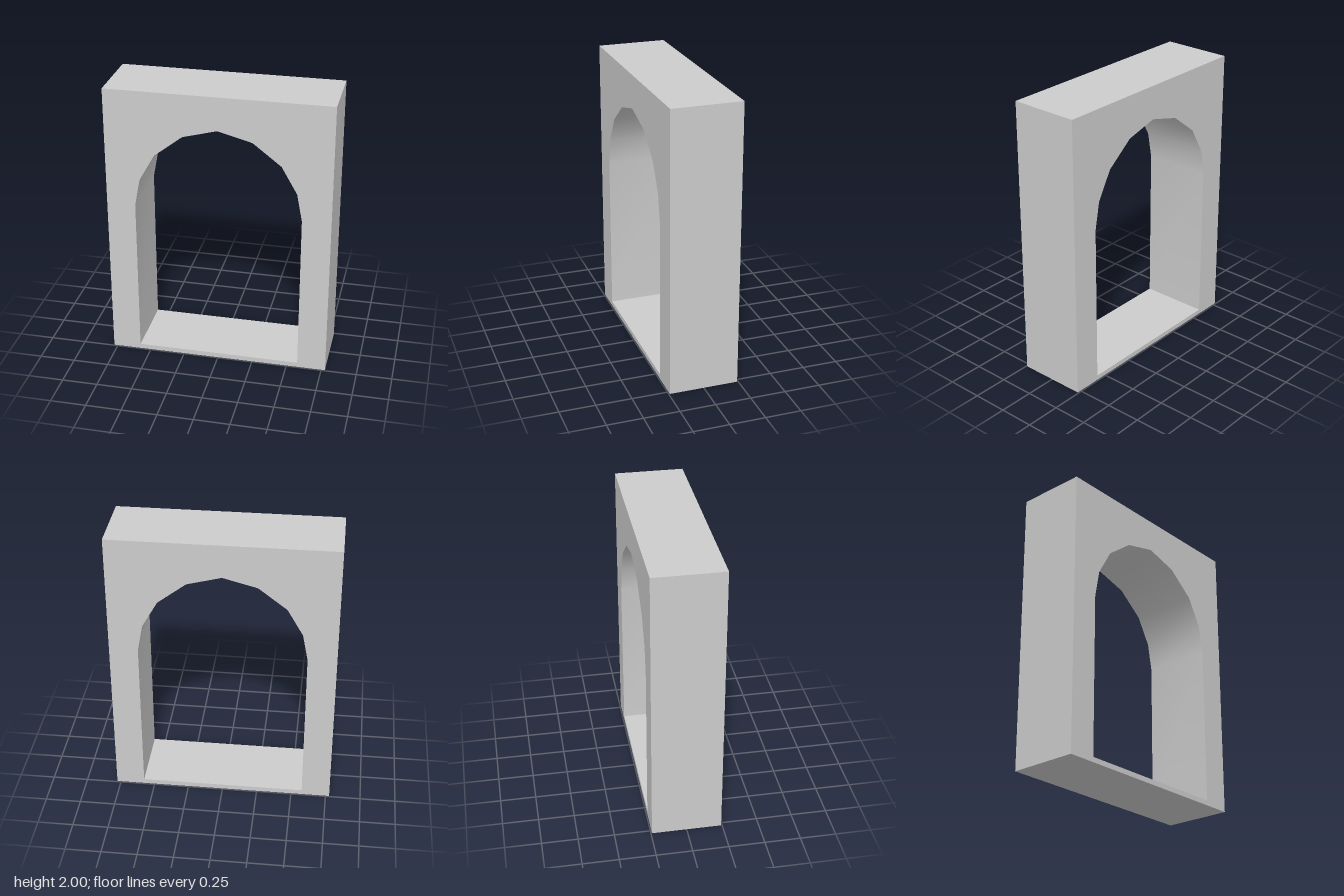
import * as THREE from 'three';
import { toCreasedNormals } from 'three/addons/utils/BufferGeometryUtils.js';

const HALF_WIDTH = 0.777;
const HEIGHT = 2;
const DEPTH = 0.486;
const SILL = 0.035;

// Right half of the opening, from the sill up to just below the crown
const HALF_ARCH = [[0.577, SILL], [0.577, 1.165], [0.54, 1.36], [0.432, 1.55], [0.236, 1.702]];
const CROWN = [0, 1.765];

export function createModel() {
  const group = new THREE.Group();
  group.name = 'archway';

  // Rectangular wall block
  const wall = new THREE.Shape([
    new THREE.Vector2(-HALF_WIDTH, 0),
    new THREE.Vector2(HALF_WIDTH, 0),
    new THREE.Vector2(HALF_WIDTH, HEIGHT),
    new THREE.Vector2(-HALF_WIDTH, HEIGHT),
  ]);

  // Arched opening, mirrored about the crown
  const mirrored = HALF_ARCH.map(([x, y]) => [-x, y]).reverse();
  const outline = [...HALF_ARCH, CROWN, ...mirrored];
  wall.holes.push(new THREE.Path(outline.map(([x, y]) => new THREE.Vector2(x, y))));

  const extruded = new THREE.ExtrudeGeometry(wall, { depth: DEPTH, bevelEnabled: false });
  extruded.translate(0, 0, -DEPTH / 2);

  // Smooth inside the arch, sharp at the block's edges and the sill
  const geometry = toCreasedNormals(extruded, THREE.MathUtils.degToRad(40));
  const mesh = new THREE.Mesh(geometry, new THREE.MeshStandardMaterial({ color: 0xcccccc }));
  mesh.name = 'archedWall';
  group.add(mesh);

  return group;
}
